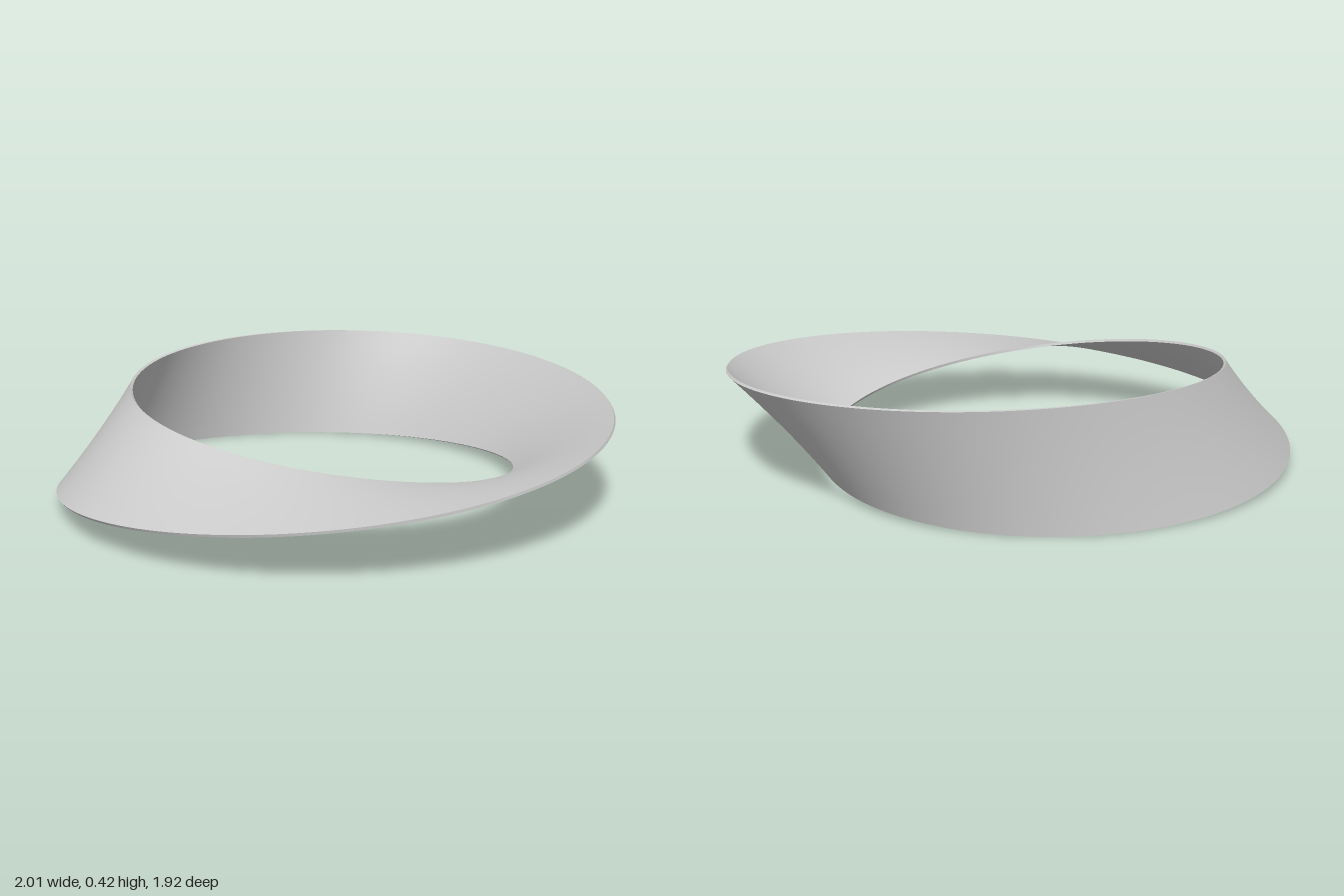
import * as THREE from 'three';
import { toCreasedNormals } from 'three/addons/utils/BufferGeometryUtils.js';

const RADIUS = 0.848;     // centre line of the band
const HALF_WIDTH = 0.212;
const HALF_THICK = 0.005;
const OFFSET_Z = -0.104;
const SEGMENTS = 160;     // steps around the ring
const CELLS = 6;          // steps across the band

// Outline of the thin rectangular section: across one face, back along the other
function sectionOutline() {
  const points = [];
  for (const side of [1, -1]) {
    for (let i = 0; i <= CELLS; i++) {
      points.push([side * HALF_WIDTH * (2 * i / CELLS - 1), side * HALF_THICK]);
    }
  }
  return points;
}

// Closed band with a single half twist: flat at the front, upright at the back
function twistedBandGeometry() {
  const outline = sectionOutline();
  const count = outline.length;
  const positions = [], indices = [];

  for (let s = 0; s < SEGMENTS; s++) {
    const turn = -Math.PI + 2 * Math.PI * s / SEGMENTS;
    const tilt = turn / 2;
    for (const [u, t] of outline) {
      const r = RADIUS + u * Math.cos(tilt) - t * Math.sin(tilt);
      const y = HALF_WIDTH + u * Math.sin(tilt) + t * Math.cos(tilt);
      positions.push(r * Math.sin(turn), y, r * Math.cos(turn) + OFFSET_Z);
    }
  }

  // The last ring joins the first one turned half way round the outline
  const vertex = (s, i) => s < SEGMENTS
    ? s * count + i % count
    : (i + CELLS + 1) % count;
  for (let s = 0; s < SEGMENTS; s++) {
    for (let i = 0; i < count; i++) {
      const a = vertex(s, i), b = vertex(s, i + 1);
      const c = vertex(s + 1, i), d = vertex(s + 1, i + 1);
      indices.push(a, b, c, b, d, c);
    }
  }

  const geometry = new THREE.BufferGeometry();
  geometry.setAttribute('position', new THREE.Float32BufferAttribute(positions, 3));
  geometry.setIndex(indices);
  return toCreasedNormals(geometry, 0.6);
}

export function createModel() {
  const group = new THREE.Group();
  group.name = 'mobiusStrip';
  const material = new THREE.MeshStandardMaterial({ color: 0xcccccc });
  const band = new THREE.Mesh(twistedBandGeometry(), material);
  band.name = 'twistedBand';
  group.add(band);
  return group;
}
